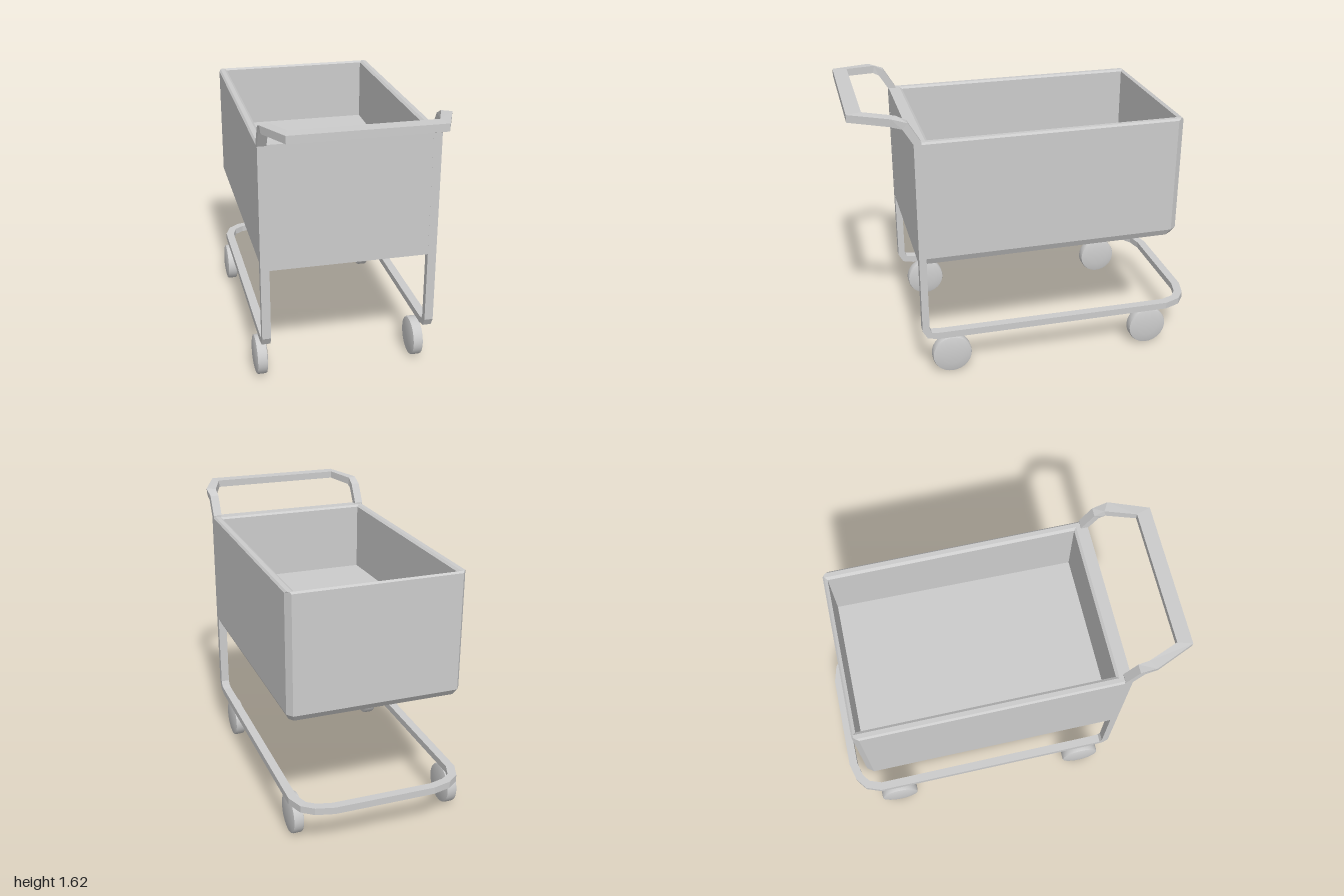
import * as THREE from 'three';
import { toCreasedNormals } from 'three/addons/utils/BufferGeometryUtils.js';

const grey = new THREE.MeshStandardMaterial({ color: 0xcccccc, side: THREE.DoubleSide });

// Joins equal-length rings of points into a faceted skin.
function skin(rings, { closed = false, caps = false } = {}) {
  const pos = [];
  const tri = (a, b, c) => pos.push(...a, ...b, ...c);
  const n = rings[0].length;
  const count = closed ? rings.length : rings.length - 1;
  for (let i = 0; i < count; i++) {
    const p = rings[i], q = rings[(i + 1) % rings.length];
    for (let j = 0; j < n; j++) {
      const k = (j + 1) % n;
      tri(p[j], p[k], q[k]);
      tri(p[j], q[k], q[j]);
    }
  }
  if (caps) {
    const first = rings[0], last = rings[rings.length - 1];
    for (let j = 1; j < n - 1; j++) {
      tri(first[0], first[j + 1], first[j]);
      tri(last[0], last[j], last[j + 1]);
    }
  }
  const geo = new THREE.BufferGeometry();
  geo.setAttribute('position', new THREE.Float32BufferAttribute(pos, 3));
  geo.computeVertexNormals();
  return geo;
}

function addMesh(parent, name, geo) {
  const mesh = new THREE.Mesh(geo, grey);
  mesh.name = name;
  parent.add(mesh);
  return mesh;
}

// Open box: bevelled outside, over the rim and down to the raised, slightly sloping floor.
function basketGeometry() {
  // front y, back y, half width, front z, back z, back corner cut in x and z
  const levels = [
    [0.742, 0.742, 0.48, 0.67, -0.82, 0.02, 0.03],
    [0.782, 0.782, 0.5, 0.67, -0.85, 0.027, 0.037],
    [1.455, 1.455, 0.5, 0.67, -0.85, 0.027, 0.037],
    [1.465, 1.465, 0.49, 0.67, -0.84, 0.01, 0.01],
    [1.465, 1.465, 0.465, 0.605, -0.84, 0, 0],
    [1.455, 1.455, 0.45, 0.59, -0.825, 0, 0],
    [1.055, 1.085, 0.45, 0.59, -0.825, 0, 0],
  ];
  const rings = levels.map(([yf, yb, w, f, b, cx, cz]) => [
    [-w, yf, f], [w, yf, f], [w, yb, b + cz], [w - cx, yb, b], [-w + cx, yb, b], [-w, yb, b + cz],
  ]);
  return skin(rings, { caps: true });
}

// One continuous square bar: handle, posts and base loop.
function frameGeometry() {
  // x, y, z, outward angle in plan, half width, half thickness
  const half = [
    [0.4, 1.602, 0.958, 73, 0.042, 0.021],
    [0.475, 1.59, 0.77, 30, 0.03, 0.022],
    [0.475, 1.565, 0.71, 0, 0.025, 0.022],
    [0.475, 1.465, 0.65, 0, 0.025, 0.021],
    [0.475, 0.323, 0.65, 0, 0.025, 0.021],
    [0.475, 0.285, 0.63, 0, 0.025, 0.021],
    [0.475, 0.275, 0.575, 0, 0.025, 0.021],
    [0.475, 0.261, -0.82, -10, 0.025, 0.02],
    [0.443, 0.26, -0.905, -35, 0.025, 0.02],
    [0.385, 0.26, -0.948, -60, 0.025, 0.02],
    [0.29, 0.26, -0.972, -85, 0.025, 0.02],
  ];
  const mirrored = half.map(([x, y, z, a, w, t]) => [-x, y, z, 180 - a, w, t]).reverse();
  const path = [...half, ...mirrored];
  const points = path.map(([x, y, z]) => new THREE.Vector3(x, y, z));
  const n = path.length;
  const rings = path.map(([, , , deg, w, t], i) => {
    const p = points[i];
    const before = p.clone().sub(points[(i + n - 1) % n]).normalize();
    const after = points[(i + 1) % n].clone().sub(p).normalize();
    const angle = THREE.MathUtils.degToRad(deg);
    const out = new THREE.Vector3(Math.cos(angle), 0, Math.sin(angle));
    const up = before.add(after).cross(out).normalize();
    return [[1, 1], [-1, 1], [-1, -1], [1, -1]].map(([a, b]) =>
      p.clone().addScaledVector(out, a * w).addScaledVector(up, b * t).toArray());
  });
  return skin(rings, { closed: true });
}

// Disc wheel with gently domed faces, axle along x.
function wheelGeometry() {
  const profile = [
    [0, -0.04], [0.06, -0.038], [0.1, -0.032], [0.113, -0.028], [0.116, -0.02],
    [0.116, 0.02], [0.113, 0.028], [0.1, 0.032], [0.06, 0.038], [0, 0.04],
  ].map(([r, y]) => new THREE.Vector2(r, y));
  const geo = new THREE.LatheGeometry(profile, 32);
  geo.rotateZ(Math.PI / 2);
  return toCreasedNormals(geo, 0.6);
}

export function createModel() {
  const model = new THREE.Group();
  model.name = 'cart';

  const body = new THREE.Group();
  body.name = 'body';
  body.position.x = 0.013;
  model.add(body);
  addMesh(body, 'basket', basketGeometry());
  addMesh(body, 'frame', frameGeometry());

  // Four wheels
  const wheel = wheelGeometry();
  for (const [side, x] of [['Right', -0.477], ['Left', 0.455]]) {
    for (const [end, z] of [['front', 0.496], ['back', -0.72]]) {
      addMesh(model, `${end}${side}Wheel`, wheel).position.set(x, 0.117, z);
    }
  }
  return model;
}
